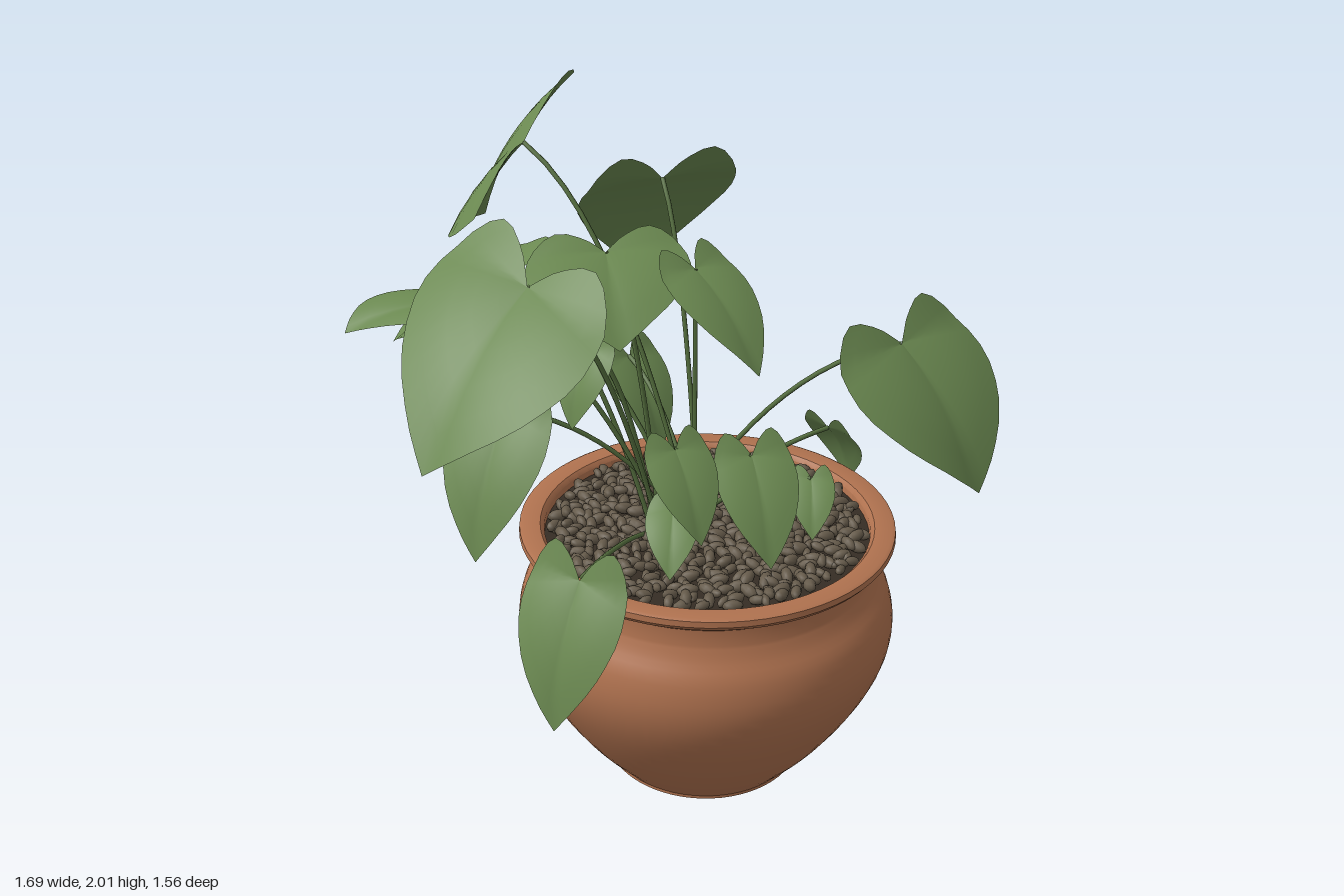
import * as THREE from 'three';
import { mergeGeometries, toCreasedNormals } from 'three/addons/utils/BufferGeometryUtils.js';

const V = (a) => new THREE.Vector3(...a);
const mat = (name, color, side = THREE.FrontSide) => {
  const m = new THREE.MeshStandardMaterial({ color, side });
  m.name = name;
  return m;
};

// Small seeded generator for scattering the pebbles
let seed = 7;
const rand = () => (seed = (seed * 16807) % 2147483647) / 2147483647;

// Large tilted leaves: stem joint, tip, half-width vector across the blade
const LARGE = [
  [[-0.2, 1.82, -0.35], [-0.17, 1.47, -0.78], [0.22, 0.17, -0.12]],
  [[-0.44, 1.63, 0.25], [-0.8, 1.24, 0.4], [0.1, -0.05, 0.28]],
  [[0.57, 1.37, 0.48], [0.68, 1.0, 0.74], [0.27, 0, -0.1]],
  [[0.12, 1.74, -0.1], [0.2, 1.33, -0.43], [0.22, 0.02, 0.06]],
  [[-0.32, 1.5, -0.15], [-0.63, 1.28, -0.35], [0.13, 0.02, -0.22]],
  [[-0.22, 1.35, -0.33], [-0.2, 1.0, -0.65], [0.15, 0, -0.1]],
  [[-0.5, 1.5, -0.03], [-0.82, 1.42, -0.15], [0.06, 0, 0.15]],
  [[-0.12, 1.6, 0.03], [-0.2, 1.42, 0.29], [0.23, 0, 0.04]],
];

// Small level leaves: stem joint x, y, z, heading from +z, length, droop (degrees)
const SMALL = [
  [-0.43, 1.18, 0.02, -54, 0.44, 65],
  [-0.43, 0.9, 0.52, -56, 0.42, 70],
  [0.62, 0.91, 0.06, 110, 0.26, 62],
  [0.08, 1.57, 0.18, 16, 0.35, 43],
  [0.15, 1.08, 0.4, -10, 0.32, 55],
  [0.35, 0.96, 0.4, -27, 0.18, 50],
  [-0.14, 1.21, 0.5, 0, 0.26, 54],
  [-0.11, 0.99, 0.43, -30, 0.2, 45],
  [0.06, 1.16, -0.2, 15, 0.3, 60],
  [-0.2, 1.36, 0.1, -63, 0.24, 68],
];

// A small leaf hangs along its heading, with its width kept horizontal
function smallLeaf([x, y, z, heading, length, droop]) {
  const h = THREE.MathUtils.degToRad(heading), d = THREE.MathUtils.degToRad(droop);
  const joint = new THREE.Vector3(x, y, z);
  const reach = new THREE.Vector3(Math.sin(h) * Math.cos(d), -Math.sin(d), Math.cos(h) * Math.cos(d));
  const side = new THREE.Vector3(Math.cos(h), 0, -Math.sin(h)).multiplyScalar(0.37 * length);
  return [joint, joint.clone().addScaledVector(reach, length), side];
}

// Half of the heart outline: x along the blade, y across it
const half = new THREE.CatmullRomCurve3([
  [0, 0, 0], [-0.14, 0.24, 0], [-0.22, 0.6, 0], [-0.02, 0.92, 0], [0.25, 1, 0],
  [0.55, 0.78, 0], [0.82, 0.36, 0], [1, 0, 0],
].map(V)).getPoints(18);
const OUTLINE = [...half, ...half.slice(0, -1).reverse().map((p) => new THREE.Vector3(p.x, -p.y, 0))];

// Arched heart blade made of rings fanning out from the stem joint
function leafGeometry(joint, tip, side) {
  const axis = tip.clone().sub(joint);
  const normal = axis.clone().cross(side).normalize();
  if (normal.y < 0) normal.negate();
  const rings = 5, n = OUTLINE.length, pos = [], index = [];
  for (let r = 0; r <= rings; r++) {
    OUTLINE.forEach((o, i) => {
      const k = r / rings, u = o.x * k, v = o.y * k;
      const lift = axis.length() * (0.32 * Math.max(u, 0) * (1 - u))
        + side.length() * (0.16 * Math.abs(v) - 0.2 * v * v);
      const p = joint.clone().addScaledVector(axis, u).addScaledVector(side, v).addScaledVector(normal, lift);
      pos.push(p.x, p.y, p.z);
      if (r < rings && i < n - 1) {
        const a = r * n + i, b = a + n;
        if (r > 0) index.push(a, b, a + 1);
        index.push(a + 1, b, b + 1);
      }
    });
  }
  const g = new THREE.BufferGeometry();
  g.setAttribute('position', new THREE.Float32BufferAttribute(pos, 3));
  g.setIndex(index);
  g.computeVertexNormals();
  return g;
}

export function createModel() {
  const group = new THREE.Group();
  const terracotta = mat('terracotta', 0xb0724f);
  const leafGreen = mat('leaf green', 0x6b8951, THREE.DoubleSide);
  const stemGreen = mat('stem green', 0x56703f);
  const pebbleBrown = mat('pebble brown', 0x655a4a);
  const soilBrown = mat('soil brown', 0x352d24);

  const add = (parent, name, geometry, material) => {
    const mesh = new THREE.Mesh(geometry, material);
    mesh.name = name;
    parent.add(mesh);
    return mesh;
  };

  // Pot with round belly, narrow neck and flared rim
  const planter = new THREE.Group();
  planter.name = 'planter';
  planter.position.set(0.11, 0, 0.22);
  group.add(planter);
  const belly = new THREE.SplineCurve([
    [0.3, 0.01], [0.4, 0.13], [0.49, 0.27], [0.545, 0.39], [0.562, 0.49],
    [0.545, 0.58], [0.51, 0.64], [0.492, 0.68],
  ].map((p) => new THREE.Vector2(...p))).getPoints(24);
  const profile = [
    [0, 0], [0.3, 0],
    ...belly.map((p) => [p.x, p.y]),
    [0.49, 0.73], [0.51, 0.748], [0.54, 0.765], [0.552, 0.78], [0.55, 0.797],
    [0.54, 0.802], [0.49, 0.798], [0.478, 0.785], [0.475, 0.72],
  ].map((p) => new THREE.Vector2(...p));
  add(planter, 'pot', toCreasedNormals(new THREE.LatheGeometry(profile, 64), 0.7), terracotta);

  // Soil under the pebbles
  const soil = add(planter, 'soil', new THREE.CircleGeometry(0.478, 48), soilBrown);
  soil.rotation.x = -Math.PI / 2;
  soil.position.y = 0.765;

  // Pebble layer, spread on a jittered spiral
  const pebbles = [];
  const count = 560;
  for (let i = 0; i < count; i++) {
    const r = 0.455 * Math.sqrt((i + 0.5) / count), a = i * 2.39996 + rand() * 0.1;
    const s = 0.8 + rand() * 0.45;
    const g = new THREE.SphereGeometry(1, 8, 6);
    g.scale(0.027 * s, 0.015 * s, 0.015 * s);
    g.rotateZ((rand() - 0.5) * 0.7);
    g.rotateY(rand() * Math.PI);
    g.translate(r * Math.cos(a), 0.775 + rand() * 0.015, r * Math.sin(a));
    pebbles.push(g);
  }
  add(planter, 'pebbles', mergeGeometries(pebbles), pebbleBrown);

  // Leaves, each on an arching stem from the middle of the pot
  const foliage = new THREE.Group();
  foliage.name = 'foliage';
  group.add(foliage);
  const leaves = [...LARGE.map((leaf) => leaf.map(V)), ...SMALL.map(smallLeaf)];
  leaves.forEach(([joint, tip, side], i) => {
    add(foliage, `leaf${i + 1}`, leafGeometry(joint, tip, side), leafGreen);
    const a = i * 2.4;
    const root = new THREE.Vector3(0.06 + 0.06 * Math.cos(a) + joint.x * 0.08, 0.75, 0.13 + 0.06 * Math.sin(a));
    const bend = root.clone().lerp(joint, 0.45);
    bend.y = 0.75 + (joint.y - 0.75) * 0.85;
    const path = new THREE.QuadraticBezierCurve3(root, bend, joint);
    add(foliage, `stem${i + 1}`, new THREE.TubeGeometry(path, 14, 0.0075, 6), stemGreen);
  });

  return group;
}
